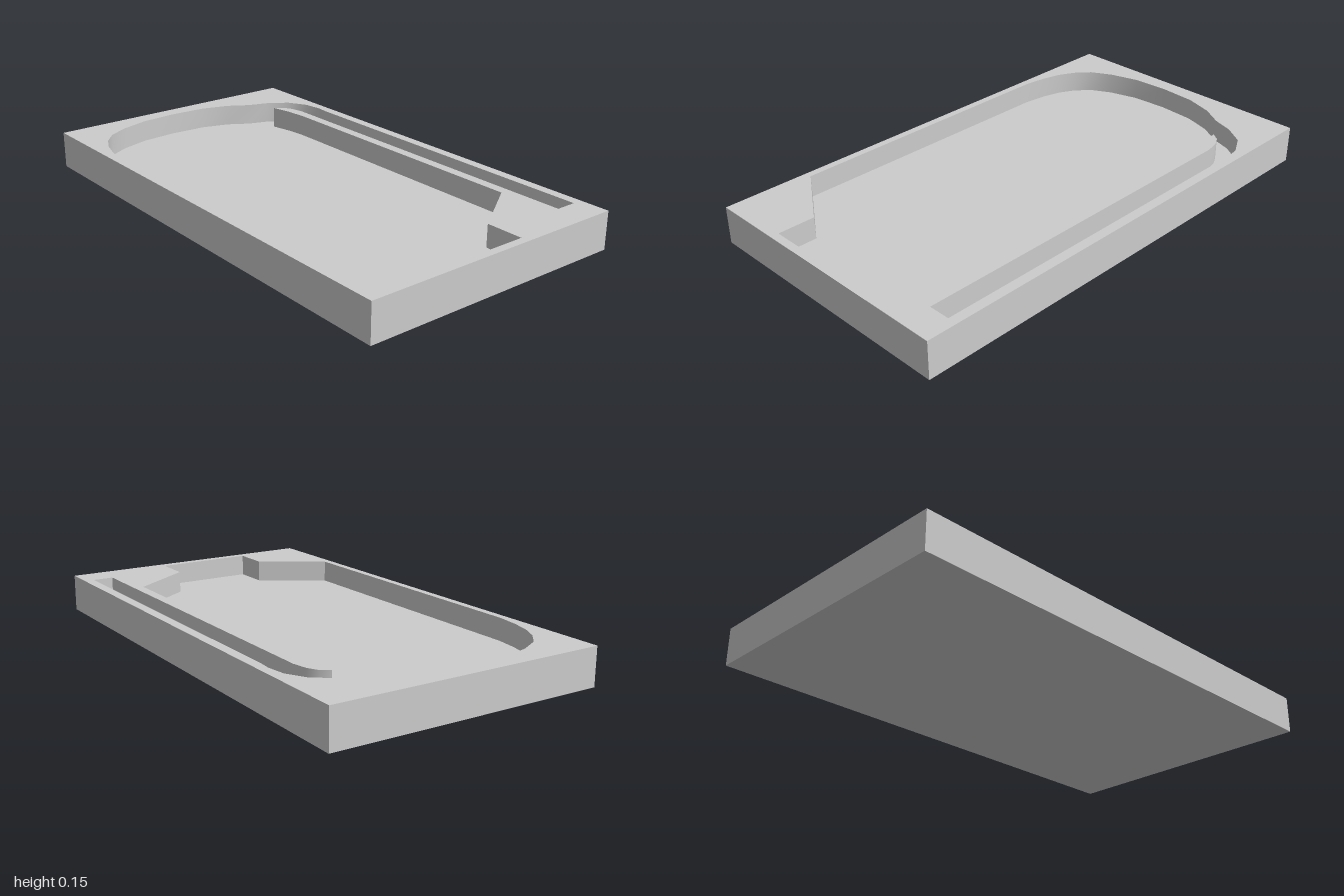
import * as THREE from 'three';
import { toCreasedNormals } from 'three/addons/utils/BufferGeometryUtils.js';

const W = 0.56, L = 1, H = 0.152, FLOOR = 0.062;

// Plan outlines as [x, z]; counter-clockwise from above faces outward, clockwise faces inward.
const slabOutline = [[-W, L], [W, L], [W, -L], [-W, -L]];
const pocketOutline = [
  // left side and rounded back
  [-0.53, 0.645], [-0.53, -0.545], [-0.517, -0.64], [-0.495, -0.72], [-0.462, -0.785],
  [-0.41, -0.845], [-0.325, -0.89], [-0.205, -0.925], [-0.055, -0.935], [0.1, -0.925],
  [0.215, -0.89], [0.3, -0.838],
  // side channel, out and back
  [0.385, -0.81], [0.468, -0.755], [0.513, -0.675], [0.524, -0.595], [0.52, -0.545],
  [0.52, 0.878], [0.434, 0.878], [0.434, -0.605], [0.422, -0.665], [0.4, -0.705],
  // tip of the dividing wall, then the right side
  [0.365, -0.73], [0.384, -0.64], [0.393, -0.545], [0.393, 0.645],
  // neck at the front
  [0.137, 0.815], [0.137, 0.967], [-0.273, 0.967], [-0.273, 0.815],
];

const toVectors = (outline) => outline.map(([x, z]) => new THREE.Vector2(x, -z));

// Horizontal face at height y, facing up
function flatFace(outline, y, hole) {
  const shape = new THREE.Shape(toVectors(outline));
  if (hole) shape.holes.push(new THREE.Path(toVectors(hole)));
  return new THREE.ShapeGeometry(shape).rotateX(-Math.PI / 2).translate(0, y, 0);
}

// Vertical wall along a closed outline; shallow bends are smoothed
function wall(outline, y0, y1) {
  const positions = [];
  outline.forEach(([ax, az], i) => {
    const [bx, bz] = outline[(i + 1) % outline.length];
    positions.push(ax, y0, az, bx, y0, bz, bx, y1, bz);
    positions.push(ax, y0, az, bx, y1, bz, ax, y1, az);
  });
  const geometry = new THREE.BufferGeometry();
  geometry.setAttribute('position', new THREE.Float32BufferAttribute(positions, 3));
  return toCreasedNormals(geometry, 0.5);
}

export function createModel() {
  const group = new THREE.Group();
  group.name = 'recessedTray';
  const material = new THREE.MeshStandardMaterial({ color: 0xcccccc });
  const add = (name, geometry) => {
    const mesh = new THREE.Mesh(geometry, material);
    mesh.name = name;
    group.add(mesh);
  };

  // Outer slab
  add('topRim', flatFace(slabOutline, H, pocketOutline));
  add('outerSides', wall(slabOutline, 0, H));
  add('underside', new THREE.PlaneGeometry(2 * W, 2 * L).rotateX(Math.PI / 2));

  // Recess with its side channel
  add('pocketWalls', wall(pocketOutline, FLOOR, H));
  add('pocketFloor', flatFace(pocketOutline, FLOOR));

  return group;
}
